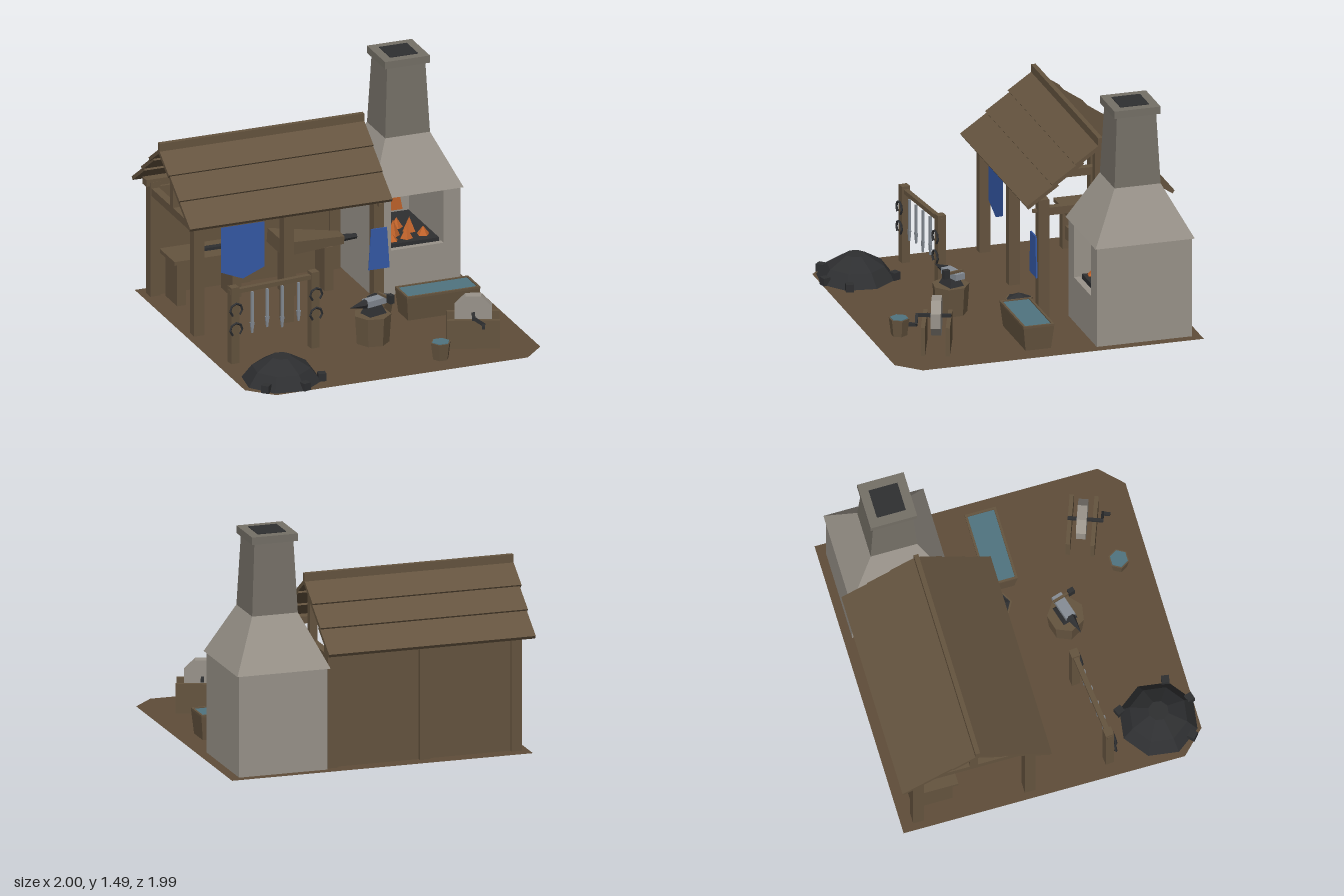
import * as THREE from 'three';

const mat = (name, color, double = false) => {
  const m = new THREE.MeshStandardMaterial({ color, flatShading: true });
  m.name = name;
  if (double) m.side = THREE.DoubleSide;
  return m;
};

export function createModel() {
  const root = new THREE.Group();
  root.name = 'openAirForge';
  const wood = mat('wood', 0x65543f);
  const earth = mat('packedEarth', 0x5f4d39, true);
  const stone = mat('stone', 0x99938a, true);
  const darkStone = mat('chimneyStone', 0x757067);
  const iron = mat('blackIron', 0x2e2f31);
  const steel = mat('steel', 0x868d95);
  const cloth = mat('blueCloth', 0x3559a6, true);
  const water = mat('water', 0x507480);
  const fire = mat('fire', 0xc0632b, true);

  const group = (name, x = 0, y = 0, z = 0, ry = 0) => {
    const g = new THREE.Group();
    g.name = name;
    g.position.set(x, y, z);
    g.rotation.y = ry;
    root.add(g);
    return g;
  };
  const add = (parent, name, geo, m, x = 0, y = 0, z = 0) => {
    const mesh = new THREE.Mesh(geo, m);
    mesh.name = name;
    mesh.position.set(x, y, z);
    parent.add(mesh);
    return mesh;
  };
  // box given by its low and high corners
  const block = (parent, name, m, x0, x1, y0, y1, z0, z1) =>
    add(parent, name, new THREE.BoxGeometry(x1 - x0, y1 - y0, z1 - z0), m, (x0 + x1) / 2, (y0 + y1) / 2, (z0 + z1) / 2);
  // box whose top has a different size from its bottom, standing on y
  const frustum = (parent, name, m, w0, d0, w1, d1, h, x, y, z) => {
    const geo = new THREE.BoxGeometry(1, h, 1);
    const p = geo.attributes.position;
    for (let i = 0; i < p.count; i++) {
      const top = p.getY(i) > 0;
      p.setX(i, p.getX(i) * (top ? w1 : w0));
      p.setZ(i, p.getZ(i) * (top ? d1 : d0));
    }
    geo.computeVertexNormals();
    return add(parent, name, geo, m, x, y + h / 2, z);
  };
  const plate = (parent, name, m, pts, z) =>
    add(parent, name, new THREE.ShapeGeometry(new THREE.Shape(pts.map(([x, y]) => new THREE.Vector2(x, y)))), m, 0, 0, z);

  // Ground sheet with clipped front corners
  plate(root, 'ground', earth, [[-0.97, 0.985], [-0.97, -0.83], [-0.82, -0.98], [0.86, -0.98], [1, -0.84], [1, 0.985]], 0)
    .rotation.x = -Math.PI / 2;

  // Stone hearth with an open mouth
  const forge = group('forge');
  block(forge, 'hearthBase', stone, 0.355, 0.935, 0, 0.27, -0.93, -0.31);
  block(forge, 'leftCheek', stone, 0.82, 0.935, 0.27, 0.65, -0.93, -0.31);
  block(forge, 'rightCheek', stone, 0.355, 0.47, 0.27, 0.65, -0.93, -0.31);
  block(forge, 'backOfHearth', stone, 0.47, 0.82, 0.27, 0.65, -0.93, -0.88);
  block(forge, 'sill', stone, 0.47, 0.82, 0.27, 0.295, -0.35, -0.31);
  block(forge, 'coalBed', iron, 0.48, 0.81, 0.27, 0.315, -0.86, -0.36);
  plate(forge, 'glow', fire, [[0.53, 0.32], [0.775, 0.32], [0.73, 0.555], [0.565, 0.555]], -0.872);
  [[0.56, 0.11, -0.5], [0.62, 0.08, -0.43], [0.68, 0.1, -0.53], [0.52, 0.05, -0.42], [0.74, 0.06, -0.45], [0.63, 0.07, -0.62]]
    .forEach(([x, h, z], i) => {
      add(forge, 'flame', new THREE.ConeGeometry(0.045, h, 5), fire, x, 0.31 + h / 2, z).rotation.y = i;
    });
  frustum(forge, 'hood', stone, 0.61, 0.645, 0.3, 0.3, 0.33, 0.645, 0.65, -0.62);
  frustum(forge, 'chimney', darkStone, 0.3, 0.3, 0.255, 0.255, 0.47, 0.645, 0.975, -0.62);
  block(forge, 'chimneyCap', darkStone, 0.495, 0.795, 1.44, 1.488, -0.77, -0.47);
  block(forge, 'flueOpening', iron, 0.552, 0.738, 1.484, 1.492, -0.713, -0.527);

  // Timber shed: posts, plates, ties and king posts
  const shed = group('shed');
  for (const x of [-0.89, -0.29, 0.312]) {
    block(shed, 'frontPost', wood, x - 0.034, x + 0.034, 0, 0.76, -0.19, -0.12);
    block(shed, 'backPost', wood, x - 0.034, x + 0.034, 0, 0.76, -0.91, -0.84);
    block(shed, 'tieBeam', wood, x - 0.025, x + 0.025, 0.67, 0.72, -0.85, -0.18);
    block(shed, 'kingPost', wood, x - 0.025, x + 0.025, 0.71, 1.08, -0.54, -0.49);
  }
  for (const z of [-0.155, -0.875]) block(shed, 'wallPlate', wood, -0.95, 0.35, 0.735, 0.78, z - 0.033, z + 0.033);
  block(shed, 'backWall', wood, -0.89, 0.312, 0, 0.72, -0.885, -0.86);

  // Overlapping roof boards, mirrored about the ridge
  const ridgeZ = -0.515, tilt = 0.6;
  const rows = [[-0.04, 0.745, 0.24, -0.985], [-0.205, 0.873, 0.24, -0.99], [-0.355, 0.99, 0.19, -1]];
  for (const side of [1, -1]) for (const [z, y, len, x0] of rows) {
    const zc = z - ridgeZ - Math.cos(tilt) * len / 2;
    const b = add(shed, 'roofBoard', new THREE.BoxGeometry(0.368 - x0, 0.024, len), wood,
      (0.368 + x0) / 2, y + Math.sin(tilt) * len / 2, ridgeZ + side * zc);
    b.rotation.x = side * tilt;
  }
  block(shed, 'ridgeBoard', wood, -1, 0.368, 1.08, 1.155, -0.53, -0.5);

  // Banner and apron
  const hangings = group('hangings');
  block(hangings, 'bannerRod', wood, -0.78, -0.4, 0.69, 0.71, -0.165, -0.145);
  plate(hangings, 'banner', cloth, [[-0.735, 0.69], [-0.735, 0.39], [-0.59, 0.33], [-0.445, 0.39], [-0.445, 0.69]], -0.14);
  block(hangings, 'peg', wood, 0.3, 0.32, 0.69, 0.71, -0.12, -0.09);
  frustum(hangings, 'apron', cloth, 0.14, 0.009, 0.105, 0.009, 0.27, 0.303, 0.277, -0.1);

  // Workbench with tools
  const bench = group('workbench');
  block(bench, 'benchTop', wood, -0.86, -0.37, 0.285, 0.31, -0.85, -0.6);
  for (const x of [-0.8, -0.43]) block(bench, 'benchLeg', wood, x - 0.03, x + 0.03, 0, 0.285, -0.82, -0.63);
  block(bench, 'benchBar', iron, -0.69, -0.45, 0.31, 0.328, -0.74, -0.7);

  // Bellows: wide end to the right, nozzle into the hearth
  const bellows = group('bellows');
  const bag = frustum(bellows, 'bellowsBody', wood, 0.09, 0.28, 0.05, 0.1, 0.44, 0.035, 0.11, -0.6);
  bag.rotation.z = -Math.PI / 2 - 0.07;
  bag.position.set(0.035, 0.325, -0.6);
  const nozzle = add(bellows, 'nozzle', new THREE.CylinderGeometry(0.015, 0.025, 0.14, 6), iron, 0.31, 0.305, -0.6);
  nozzle.rotation.z = -Math.PI / 2;
  for (const x of [-0.11, 0.14]) block(bellows, 'bellowsLeg', wood, x - 0.03, x + 0.03, 0, 0.29, -0.68, -0.52);

  // Tool rack
  const rack = group('toolRack', -0.58, 0, 0.34, 0.1);
  for (const s of [-1, 1]) {
    block(rack, 'rackPost', wood, s * 0.28 - 0.027, s * 0.28 + 0.027, 0, 0.505, -0.027, 0.027);
    for (const y of [0.36, 0.23]) {
      const shoe = add(rack, 'horseshoe', new THREE.TorusGeometry(0.042, 0.008, 4, 6, Math.PI * 1.6), iron, s * 0.28, y, 0.036);
      shoe.rotation.z = -Math.PI * 0.3;
    }
  }
  block(rack, 'rackRail', wood, -0.31, 0.31, 0.458, 0.486, -0.016, 0.016);
  [-0.16, -0.055, 0.05, 0.165].forEach((x, i) => {
    const low = 0.18 + 0.02 * (i % 2);
    block(rack, 'hangingTool', steel, x - 0.008, x + 0.008, low + 0.05, 0.455, 0.012, 0.026);
    frustum(rack, 'toolTip', steel, 0.01, 0.01, 0.026, 0.016, 0.07, x, low, 0.019);
  });

  // Coal heap with loose lumps
  const heap = group('coalHeap', -0.69, 0, 0.74);
  const profile = [[0, 0], [0.25, 0], [0.185, 0.085], [0.065, 0.155], [0, 0.155]].map(([r, y]) => new THREE.Vector2(r, y));
  add(heap, 'coalPile', new THREE.LatheGeometry(profile, 8), iron).rotation.y = 0.25;
  [[0.11, -0.22], [0.225, 0.11], [-0.17, 0.17], [0.07, 0.22]].forEach(([x, z], i) =>
    add(heap, 'coalLump', new THREE.BoxGeometry(0.05, 0.05, 0.05), iron, x, 0.025, z).rotation.y = 0.4 + i);

  // Anvil on a stump
  const anvil = group('anvil', 0.07, 0, 0.365, 0.28);
  add(anvil, 'stump', new THREE.CylinderGeometry(0.118, 0.106, 0.185, 7), wood, 0, 0.0925, 0);
  frustum(anvil, 'anvilFoot', iron, 0.13, 0.1, 0.08, 0.055, 0.06, 0.01, 0.185, 0);
  block(anvil, 'anvilFace', steel, -0.055, 0.11, 0.243, 0.283, -0.034, 0.034);
  const horn = add(anvil, 'anvilHorn', new THREE.ConeGeometry(0.03, 0.125, 6), iron, -0.115, 0.262, 0);
  horn.rotation.z = Math.PI / 2;
  block(anvil, 'hammerHandle', wood, 0.07, 0.085, 0.283, 0.298, -0.04, 0.09);
  block(anvil, 'hammerHead', iron, 0.062, 0.092, 0.262, 0.318, 0.065, 0.105);

  // Round vessels
  const bucket = (name, fill, x, z, r, h) => {
    const g = group(name, x, 0, z);
    add(g, 'staves', new THREE.CylinderGeometry(r, r * 0.78, h, 6), wood, 0, h / 2, 0);
    add(g, 'contents', new THREE.CylinderGeometry(r * 0.87, r * 0.87, 0.006, 6), fill, 0, h + 0.001, 0);
    return g;
  };
  const scuttle = bucket('coalBucket', iron, 0.27, -0.015, 0.09, 0.12);
  add(scuttle, 'coals', new THREE.ConeGeometry(0.078, 0.035, 6), iron, 0, 0.138, 0);
  bucket('waterPail', water, 0.355, 0.79, 0.066, 0.11).rotation.y = Math.PI / 6;

  // Quenching trough
  const trough = group('trough');
  frustum(trough, 'troughBody', wood, 0.46, 0.165, 0.49, 0.2, 0.155, 0.635, 0, 0.048);
  block(trough, 'troughWater', water, 0.405, 0.865, 0.15, 0.158, -0.037, 0.133);
  for (const s of [-1, 1]) {
    block(trough, 'longRim', wood, 0.39, 0.88, 0.15, 0.164, 0.048 + s * 0.093 - 0.007, 0.048 + s * 0.093 + 0.007);
    block(trough, 'endRim', wood, 0.635 + s * 0.238 - 0.007, 0.635 + s * 0.238 + 0.007, 0.15, 0.164, -0.04, 0.136);
  }

  // Grindstone between two planks, with a crank
  const grinder = group('grindstone', 0.635, 0, 0.635, -0.36);
  for (const s of [-1, 1]) block(grinder, 'standPlank', wood, -0.165, 0.165, 0, 0.188, s * 0.077 - 0.013, s * 0.077 + 0.013);
  const wheel = add(grinder, 'wheel', new THREE.CylinderGeometry(0.125, 0.125, 0.062, 8), stone, 0, 0.21, 0);
  wheel.rotation.set(Math.PI / 2, Math.PI / 8, 0);
  block(grinder, 'axle', iron, -0.01, 0.01, 0.2, 0.22, -0.09, 0.13);
  const arm = block(grinder, 'crankArm', iron, -0.01, 0.075, 0.183, 0.203, 0.115, 0.132);
  arm.rotation.z = -0.6;
  block(grinder, 'crankGrip', iron, 0.05, 0.07, 0.16, 0.18, 0.12, 0.17);

  return root;
}
